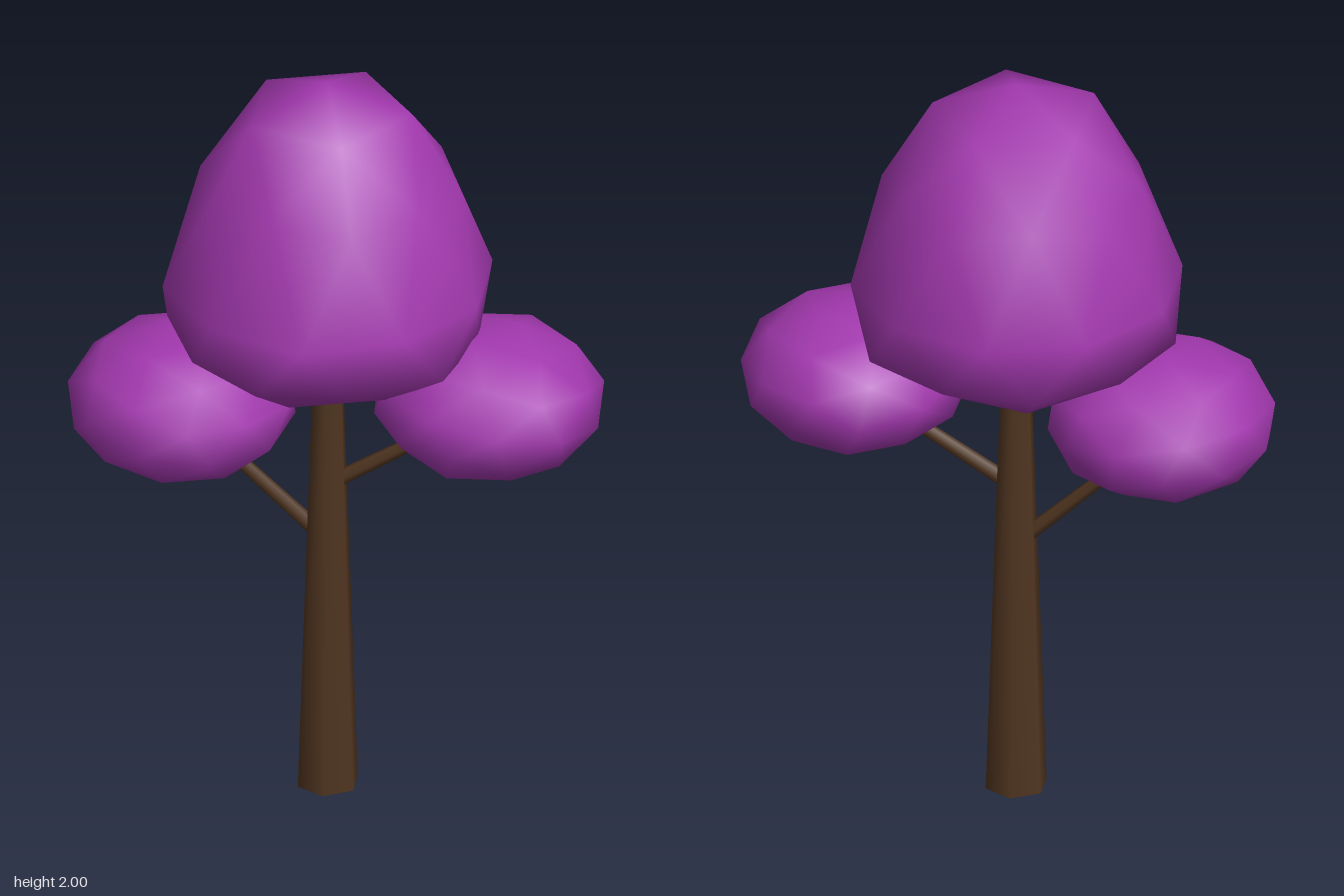
import * as THREE from 'three';
import { mergeVertices } from 'three/addons/utils/BufferGeometryUtils.js';

const AXIS_X = -0.022, AXIS_Z = -0.025;

// Unit icosphere with one corner pointing straight up and another row on +x
function icosphere() {
  const geo = new THREE.IcosahedronGeometry(1, 1);
  geo.deleteAttribute('uv');
  geo.deleteAttribute('normal');
  const g = mergeVertices(geo, 1e-4);
  // the corner (0, 1, phi) lies in the yz plane; tip it up to +y
  g.rotateX(-Math.atan2((1 + Math.sqrt(5)) / 2, 1));
  // turn so that an upper ring corner faces +x
  const p = g.attributes.position;
  for (let i = 0; i < p.count; i++) {
    if (Math.abs(p.getY(i) - 0.447) < 0.02) {
      g.rotateY(Math.atan2(p.getZ(i), p.getX(i)));
      break;
    }
  }
  return g;
}

// Crown profile: unit height -> real height and radial scale
const PROFILE = [
  [-1, 1.135, 0.4], [-0.85, 1.175, 0.41], [-0.526, 1.295, 0.45], [-0.447, 1.3, 0.455],
  [0, 1.455, 0.42], [0.447, 1.705, 0.385], [0.526, 1.735, 0.38], [0.85, 1.925, 0.41], [1, 2, 0.4],
];

function crownGeometry() {
  const g = icosphere(), p = g.attributes.position;
  for (let i = 0; i < p.count; i++) {
    const y = THREE.MathUtils.clamp(p.getY(i), -1, 1);
    let k = 0;
    while (k < PROFILE.length - 2 && y > PROFILE[k + 1][0]) k++;
    const [y0, h0, r0] = PROFILE[k], [y1, h1, r1] = PROFILE[k + 1];
    const t = (y - y0) / (y1 - y0), r = r0 + (r1 - r0) * t;
    // the front juts out at the widest point and is flatter above it
    let z = p.getZ(i) * r;
    if (p.getZ(i) > 0.95) z += 0.025;
    else if (z > 0 && y > 0.3 && y < 0.6) z *= 0.9;
    p.setXYZ(i, AXIS_X + p.getX(i) * r, h0 + (h1 - h0) * t, z - 0.02);
  }
  g.computeVertexNormals();
  return g;
}

// Flattened leaf clump, slightly tilted and turned
function clumpGeometry() {
  const g = icosphere();
  g.rotateZ(-0.3);
  g.rotateX(-0.15);
  g.rotateY(0.22);
  g.scale(0.294, 0.192, 0.298);
  g.computeVertexNormals();
  return g;
}

export function createModel() {
  const tree = new THREE.Group();
  tree.name = 'tree';
  const bark = new THREE.MeshStandardMaterial({ color: 0x503520 });
  bark.name = 'brown bark';
  const leaves = new THREE.MeshStandardMaterial({ color: 0xa238ae });
  leaves.name = 'purple leaves';

  const add = (name, geo, mat) => {
    const mesh = new THREE.Mesh(geo, mat);
    mesh.name = name;
    tree.add(mesh);
    return mesh;
  };

  // Tapered six-sided trunk
  add('trunk', new THREE.CylinderGeometry(0.041, 0.081, 1.16, 6), bark)
    .position.set(AXIS_X, 0.58, AXIS_Z);

  // Thin branches running from the trunk into the clumps
  const branch = (name, from, to) => {
    const a = new THREE.Vector3(...from), b = new THREE.Vector3(...to);
    const dir = b.clone().sub(a);
    const mesh = add(name, new THREE.CylinderGeometry(0.016, 0.021, dir.length(), 6), bark);
    mesh.position.copy(a).addScaledVector(dir, 0.5);
    mesh.quaternion.setFromUnitVectors(new THREE.Vector3(0, 1, 0), dir.normalize());
  };
  branch('leftBranch', [AXIS_X, 0.85, AXIS_Z], [0.3, 1.05, AXIS_Z]);
  branch('rightBranch', [AXIS_X, 0.69, AXIS_Z], [-0.31, 0.96, AXIS_Z]);

  // Egg-shaped crown and the two side clumps, one a half turn of the other
  add('crown', crownGeometry(), leaves);
  const clump = clumpGeometry();
  add('leftClump', clump, leaves).position.set(0.39, 1.14, -0.01);
  const right = add('rightClump', clump, leaves);
  right.position.set(-0.39, 1.08, -0.005);
  right.rotation.z = Math.PI;

  return tree;
}
